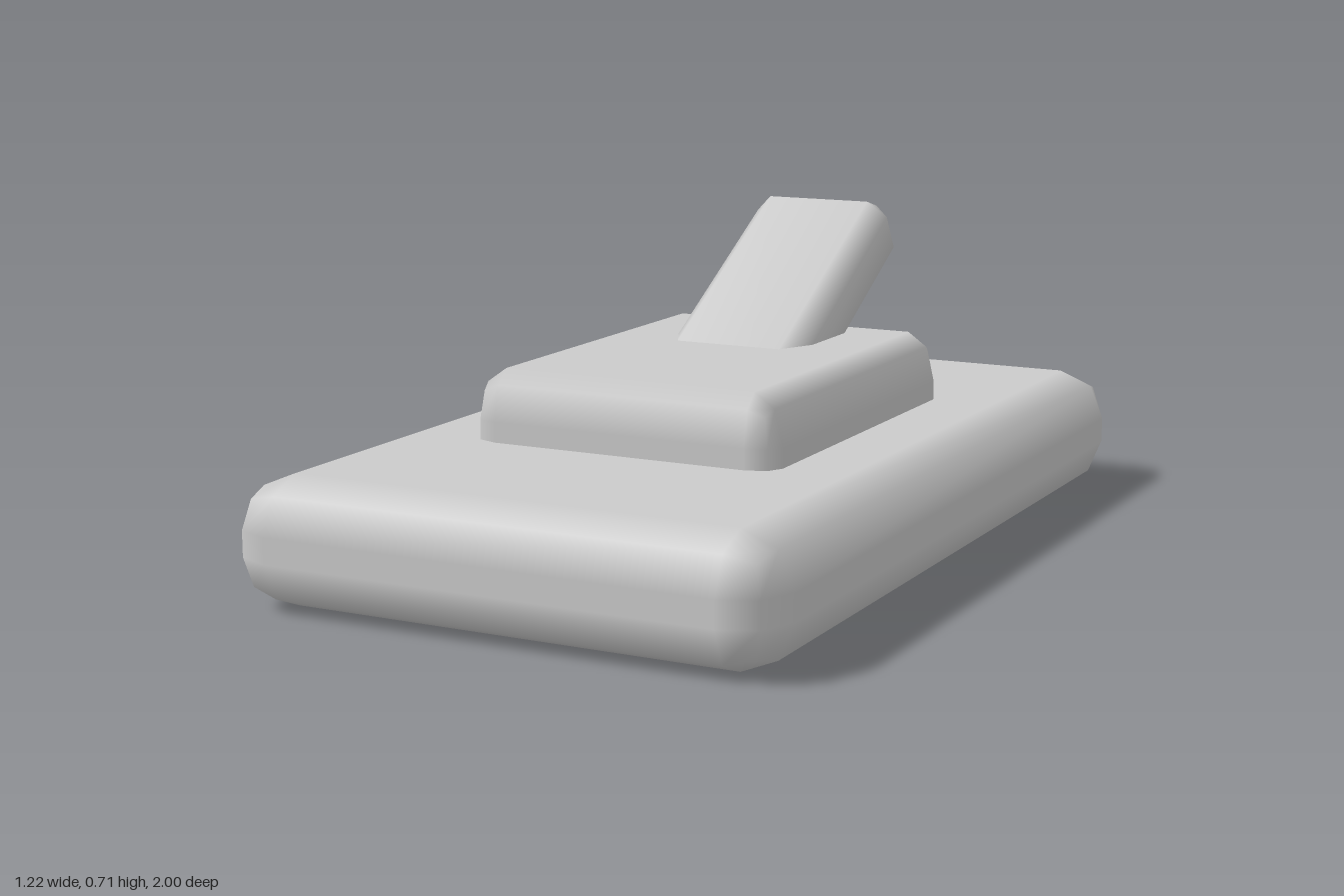
import * as THREE from 'three';
import { RoundedBoxGeometry } from 'three/addons/geometries/RoundedBoxGeometry.js';
import { ConvexGeometry } from 'three/addons/geometries/ConvexGeometry.js';
import { mergeVertices } from 'three/addons/utils/BufferGeometryUtils.js';

const material = new THREE.MeshStandardMaterial({ color: 0xcccccc });

// Box with one flat bevel on every edge, shaded smoothly
function bevelledBox(w, h, d, bevel) {
  const half = [w / 2, h / 2, d / 2];
  const points = [];
  for (const sx of [-1, 1]) for (const sy of [-1, 1]) for (const sz of [-1, 1]) {
    for (let axis = 0; axis < 3; axis++) {
      const [x, y, z] = half.map((v, i) => (i === axis ? v : v - bevel));
      points.push(new THREE.Vector3(sx * x, sy * y, sz * z));
    }
  }
  let geometry = new ConvexGeometry(points);
  geometry.deleteAttribute('normal');
  geometry = mergeVertices(geometry, 1e-4);
  geometry.computeVertexNormals();
  return geometry;
}

function addPart(group, name, geometry, y, z = 0) {
  const mesh = new THREE.Mesh(geometry, material);
  mesh.name = name;
  mesh.position.set(0, y, z);
  group.add(mesh);
  return mesh;
}

export function createModel() {
  const group = new THREE.Group();
  group.name = 'toggleSwitch';

  // Wide backing plate, and a smaller squashed copy sunk into its top
  const slab = new RoundedBoxGeometry(1.224, 0.276, 2, 1, 0.11);
  addPart(group, 'basePlate', slab, 0.138);
  addPart(group, 'raisedPlate', slab, 0.292).scale.set(0.588, 1, 0.458);

  // Lever tilted up towards the back
  const lever = addPart(group, 'lever', bevelledBox(0.34, 0.175, 0.87, 0.043), 0.438, -0.25);
  lever.rotation.x = Math.PI / 6;

  return group;
}
